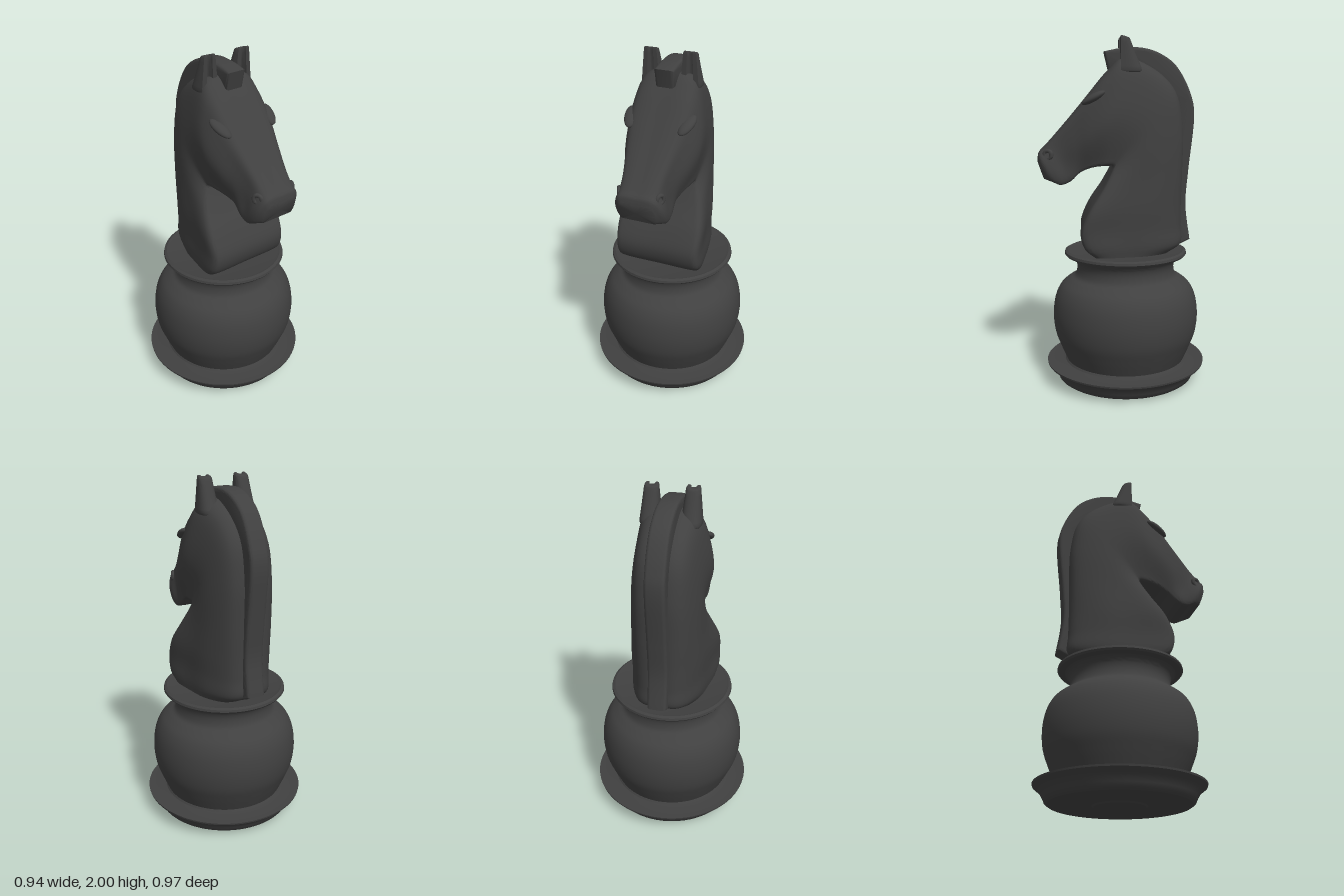
import * as THREE from 'three';
import { toCreasedNormals } from 'three/addons/utils/BufferGeometryUtils.js';

const material = new THREE.MeshStandardMaterial({ color: 0x404040 });

function part(name, geometry, crease = 0.7) {
  const mesh = new THREE.Mesh(toCreasedNormals(geometry, crease), material);
  mesh.name = name;
  return mesh;
}

// Turned pedestal
function pedestal() {
  const line = (pts) => pts.map(([r, y]) => new THREE.Vector2(r, y));
  const belly = new THREE.SplineCurve(line([
    [0.352, 0.13], [0.365, 0.16], [0.39, 0.22], [0.418, 0.3], [0.428, 0.4], [0.415, 0.5],
    [0.382, 0.57], [0.335, 0.61], [0.297, 0.635], [0.284, 0.68], [0.292, 0.72], [0.315, 0.748],
  ])).getPoints(44);
  const profile = [
    ...line([[0, 0], [0.14, 0], [0.15, 0.008], [0.385, 0.01], [0.402, 0.022], [0.412, 0.045], [0.433, 0.08],
      [0.466, 0.105], [0.468, 0.115], [0.38, 0.115], [0.36, 0.12]]),
    ...belly,
    ...line([[0.35, 0.755], [0.358, 0.765], [0.355, 0.778], [0.34, 0.785], [0.325, 0.78], [0, 0.78]]),
  ];
  const mesh = part('pedestal', new THREE.LatheGeometry(profile, 72), 0.6);
  mesh.position.z = -0.015;
  return mesh;
}

// Cross-sections: outer edge z, y; inner edge z, y; half widths at outer, middle, inner
const sections = [
  [-0.26, 0.78, 0.17, 0.78, 0.13, 0.22, 0.235],
  [-0.33, 0.83, 0.225, 0.83, 0.13, 0.225, 0.25],
  [-0.33, 0.93, 0.245, 0.92, 0.13, 0.225, 0.25],
  [-0.33, 1.05, 0.2, 1.04, 0.13, 0.225, 0.25],
  [-0.335, 1.25, 0.12, 1.165, 0.13, 0.21, 0.22],
  [-0.335, 1.5, 0.07, 1.26, 0.125, 0.2, 0.185],
  [-0.29, 1.7, 0.062, 1.285, 0.125, 0.195, 0.175],
  [-0.17, 1.82, 0.068, 1.29, 0.13, 0.2, 0.175],
  [0, 1.88, 0.085, 1.29, 0.145, 0.21, 0.175],
  [0.09, 1.81, 0.12, 1.288, 0.15, 0.21, 0.17],
  [0.2, 1.68, 0.18, 1.278, 0.145, 0.19, 0.155],
  [0.3, 1.56, 0.245, 1.25, 0.125, 0.155, 0.135],
  [0.4, 1.445, 0.3, 1.2, 0.105, 0.13, 0.135],
  [0.455, 1.385, 0.355, 1.18, 0.1, 0.14, 0.135],
  [0.48, 1.36, 0.405, 1.198, 0.1, 0.135, 0.13],
  [0.488, 1.32, 0.45, 1.212, 0.085, 0.105, 0.1],
];

function neckAndHead() {
  const across = 4, along = 6;
  // Closed smooth ring for each section
  const rings = sections.map(([oz, oy, iz, iy, wo, wm, wi]) => {
    const side = [[0, wo * 0.6], [0.06, wo], [0.3, wo * 0.3 + wm * 0.7], [0.6, wm],
      [0.92, wi], [0.985, wi * 0.94], [1, wi * 0.82]];
    const half = [[0, 0], ...side, [1, 0], ...side.map(([t, x]) => [t, -x]).reverse()];
    const curve = new THREE.CatmullRomCurve3(half.map(([t, x]) => new THREE.Vector3(
      x, THREE.MathUtils.lerp(oy, iy, t), THREE.MathUtils.lerp(oz, iz, t))), true);
    const n = half.length * across;
    return Array.from({ length: n }, (_, i) => curve.getPoint(i / n));
  });
  // Smooth columns running from the neck foot to the muzzle
  const n = rings[0].length, rows = (sections.length - 1) * along;
  const columns = rings[0].map((_, i) =>
    new THREE.CatmullRomCurve3(rings.map((ring) => ring[i])).getPoints(rows));
  const positions = [], index = [];
  for (let j = 0; j <= rows; j++) columns.forEach((c) => positions.push(...c[j].toArray()));
  positions.push(0, 1.266, 0.471);
  for (let i = 0; i < n; i++) {
    const k = (i + 1) % n;
    for (let j = 0; j < rows; j++) {
      const a = j * n + i, b = j * n + k;
      index.push(a, a + n, b, b, a + n, b + n);
    }
    index.push(rows * n + i, (rows + 1) * n, rows * n + k);
  }
  const geometry = new THREE.BufferGeometry();
  geometry.setAttribute('position', new THREE.Float32BufferAttribute(positions, 3));
  geometry.setIndex(index);
  return part('neckAndHead', geometry, 0.8);
}

// Crest of mane ending in the forelock
function mane() {
  const b = 0.018;
  const shape = new THREE.Shape();
  const spline = (pts) => shape.splineThru(pts.map(([z, y]) => new THREE.Vector2(z, y)));
  shape.moveTo(-0.27, 0.8);
  shape.lineTo(-0.37, 0.855);
  spline([[-0.345, 1.05], [-0.358, 1.25], [-0.387, 1.55], [-0.362, 1.69], [-0.29, 1.823],
    [-0.2, 1.892], [-0.1, 1.922], [0, 1.92], [0.04, 1.915]]);
  shape.lineTo(0.088, 1.905);
  shape.lineTo(0.07, 1.83);
  spline([[0, 1.8], [-0.12, 1.77], [-0.22, 1.68], [-0.28, 1.5], [-0.29, 1.25], [-0.28, 1]]);
  shape.closePath();
  const width = 0.11 - 2 * b;
  const geometry = new THREE.ExtrudeGeometry(shape, {
    depth: width, curveSegments: 36, bevelSize: b, bevelThickness: b, bevelSegments: 4,
  });
  geometry.translate(0, 0, -width / 2).rotateY(-Math.PI / 2);
  return part('mane', geometry);
}

// Cupped ear, hollow towards the front, tapering upwards
function ear(side) {
  const shape = new THREE.Shape();
  shape.moveTo(-0.036, -0.01);
  shape.lineTo(-0.026, -0.01);
  shape.quadraticCurveTo(-0.024, 0.035, 0, 0.035);
  shape.quadraticCurveTo(0.024, 0.035, 0.026, -0.01);
  shape.lineTo(0.036, -0.01);
  shape.quadraticCurveTo(0.05, 0.09, 0, 0.09);
  shape.quadraticCurveTo(-0.05, 0.09, -0.036, -0.01);
  const geometry = new THREE.ExtrudeGeometry(shape, {
    depth: 0.17, steps: 8, curveSegments: 8, bevelSize: 0.008, bevelThickness: 0.012, bevelSegments: 3,
  });
  geometry.rotateX(-Math.PI / 2);
  const p = geometry.attributes.position;
  for (let i = 0; i < p.count; i++) {
    const t = THREE.MathUtils.clamp(p.getY(i) / 0.18, 0, 1);
    p.setX(i, p.getX(i) * (1.2 - 0.4 * t));
    p.setZ(i, 0.02 + (p.getZ(i) - 0.02) * (1.05 - 0.6 * t));
    p.setY(i, p.getY(i) + t * p.getZ(i) * 0.3);
  }
  const mesh = part('ear', geometry);
  mesh.position.set(side * 0.11, 1.815, 0);
  return mesh;
}

function brow(side) {
  const mesh = part('brow', new THREE.SphereGeometry(1, 24, 16));
  mesh.scale.set(0.035, 0.022, 0.075);
  mesh.position.set(side * 0.16, 1.665, 0.17);
  mesh.rotation.set(0.5, -side * 0.25, 0);
  return mesh;
}

function nostril(side) {
  const mesh = part('nostril', new THREE.TorusGeometry(0.022, 0.012, 10, 24));
  mesh.position.set(side * 0.115, 1.35, 0.425);
  mesh.rotation.y = side * 1.1;
  return mesh;
}

export function createModel() {
  const model = new THREE.Group();
  model.name = 'chessKnight';
  model.add(pedestal(), neckAndHead(), mane());
  for (const side of [1, -1]) model.add(ear(side), brow(side), nostril(side));
  return model;
}
